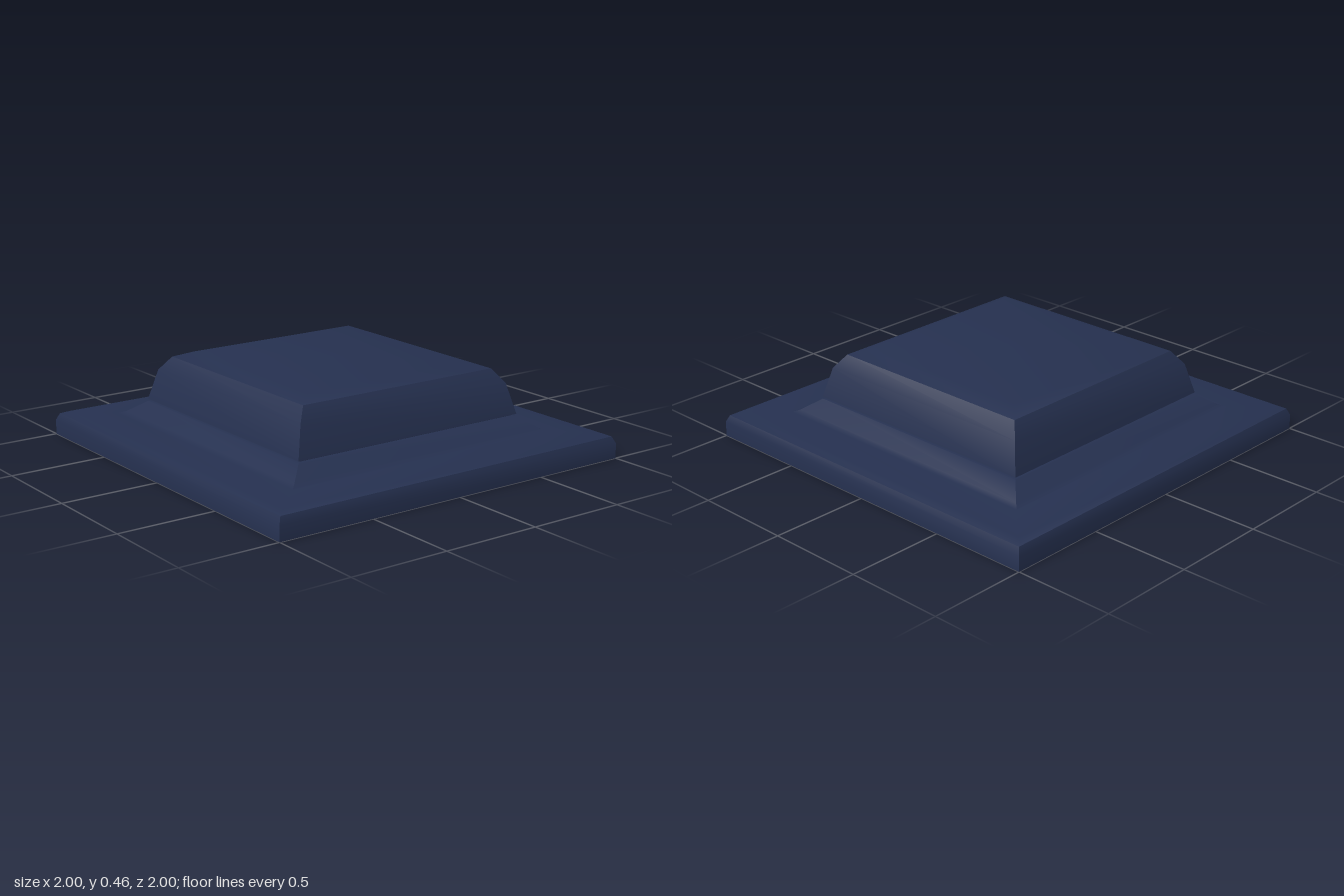
import * as THREE from 'three';
import { toCreasedNormals } from 'three/addons/utils/BufferGeometryUtils.js';

const navy = new THREE.MeshStandardMaterial({ color: 0x25304f });
navy.name = 'navy';

// Sweeps a closed profile of [half width, height] pairs round a square
function squareRing(name, profile) {
  const points = profile.map(([w, y]) => new THREE.Vector2(w * Math.SQRT2, y));
  const lathe = new THREE.LatheGeometry(points, 4, Math.PI / 4);
  const mesh = new THREE.Mesh(toCreasedNormals(lathe, Math.PI / 6), navy);
  mesh.name = name;
  return mesh;
}

export function createModel() {
  const model = new THREE.Group();
  model.name = 'squareCap';

  // Wide plate with bevelled rim, raised slope, narrow neck and square opening
  model.add(squareRing('basePlate', [
    [0.63, 0], [1, 0], [1, 0.075], [0.984, 0.11], [0.945, 0.125],
    [0.765, 0.125], [0.735, 0.137], [0.655, 0.195], [0.637, 0.197],
    [0.637, 0.208], [0.63, 0.208], [0.63, 0],
  ]));

  // Hollow raised cap with softened shoulders
  model.add(squareRing('raisedCap', [
    [0.605, 0.205], [0.655, 0.205], [0.615, 0.36], [0.563, 0.43], [0.485, 0.46], [0, 0.46],
  ]));
  model.add(squareRing('capInside', [
    [0, 0.425], [0.46, 0.425], [0.535, 0.4], [0.575, 0.345], [0.605, 0.205],
  ]));
  return model;
}
